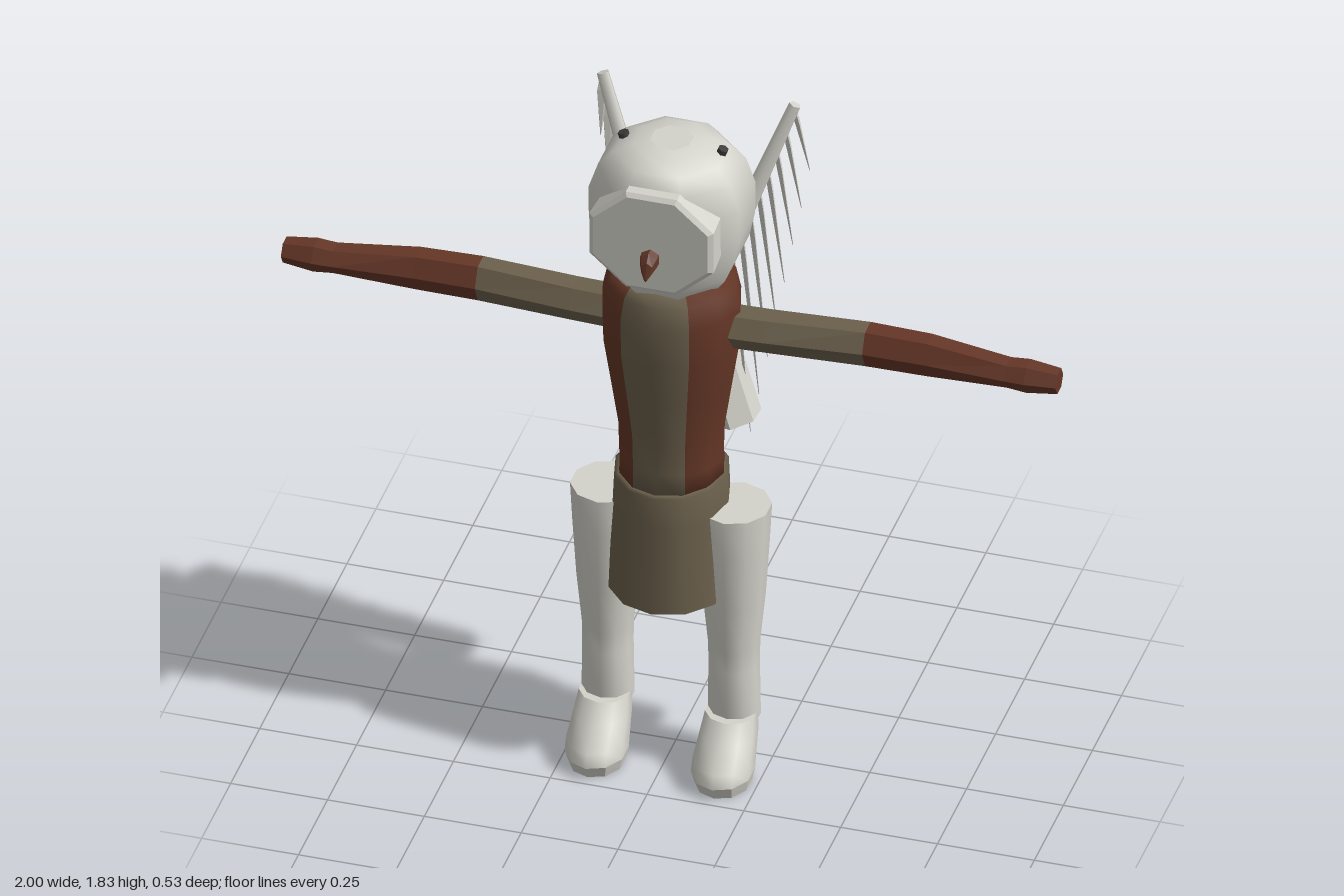
import * as THREE from 'three';

const mat = (name, color) => { const m = new THREE.MeshStandardMaterial({ color }); m.name = name; return m; };

// Closed skin over rings [y, centreX, centreZ, radiusX, radiusZ], listed from bottom to top
function loft(rings, sides, { phase = 0, flat = false } = {}) {
  const pos = [], idx = [];
  const ring = ([y, cx, cz, rx, rz]) => {
    const start = pos.length / 3;
    for (let i = 0; i < sides; i++) {
      const a = phase + (i / sides) * Math.PI * 2;
      pos.push(cx + rx * Math.sin(a), y, cz + rz * Math.cos(a));
    }
    return start;
  };
  const starts = rings.map(ring);
  for (let k = 0; k + 1 < starts.length; k++) {
    for (let i = 0; i < sides; i++) {
      const j = (i + 1) % sides, a = starts[k] + i, b = starts[k] + j, c = starts[k + 1] + j, d = starts[k + 1] + i;
      idx.push(a, b, d, b, c, d);
    }
  }
  const low = ring(rings[0]), high = ring(rings[rings.length - 1]);
  for (let i = 1; i + 1 < sides; i++) idx.push(low, low + i + 1, low + i, high, high + i, high + i + 1);
  let g = new THREE.BufferGeometry();
  g.setAttribute('position', new THREE.Float32BufferAttribute(pos, 3));
  g.setIndex(idx);
  if (flat) g = g.toNonIndexed();
  g.computeVertexNormals();
  return g;
}

export function createModel() {
  const root = new THREE.Group();
  const pale = mat('pale grey', 0xd4d3cb);
  const brown = mat('red brown', 0x653727);
  const taupe = mat('taupe', 0x6b604c);
  const dark = mat('dark grey', 0x3c3b3a);
  const taupeCloth = mat('taupe cloth', 0x6b604c);
  taupeCloth.side = THREE.DoubleSide;
  const V = (x, y, z) => new THREE.Vector3(x, y, z);
  const UP = V(0, 1, 0);
  const add = (name, geometry, material, parent = root) => {
    const m = new THREE.Mesh(geometry, material);
    m.name = name;
    parent.add(m);
    return m;
  };
  // Place a mesh built along y so that it runs from point a to point b
  const span = (m, a, b) => {
    m.position.copy(a).add(b).multiplyScalar(0.5);
    m.quaternion.setFromUnitVectors(UP, b.clone().sub(a).normalize());
    return m;
  };

  // Torso: taupe front panel, brown sides and back
  const profile = [[0.001, 0.82], [0.135, 0.82], [0.134, 0.9], [0.137, 1.0], [0.155, 1.12], [0.175, 1.25],
    [0.178, 1.36], [0.165, 1.42], [0.14, 1.45], [0.001, 1.45]].map(p => new THREE.Vector2(...p));
  const half = Math.PI / 6;
  const panel = (name, segs, start, length, material) => {
    const m = add(name, new THREE.LatheGeometry(profile, segs, start, length), material);
    m.scale.z = 0.95;
    m.position.z = 0.037;
  };
  panel('torsoFrontPanel', 2, -half, half * 2, taupe);
  panel('torsoSidesAndBack', 10, half, half * 10, brown);

  // Skirt, open below
  const skirt = add('skirt', new THREE.LatheGeometry(
    [[0.158, 0.515], [0.154, 0.62], [0.148, 0.76], [0.144, 0.85], [0.13, 0.852]].map(p => new THREE.Vector2(...p)), 12), taupeCloth);
  skirt.scale.z = 1.09;
  skirt.position.z = 0.04;

  // Head
  const oct = Math.PI / 8, k = 1 / Math.cos(oct);
  const headRings = [[1.44, 0.135, 0.13], [1.47, 0.155, 0.148], [1.53, 0.18, 0.162], [1.6, 0.194, 0.167], [1.69, 0.195, 0.167],
    [1.76, 0.172, 0.157], [1.8, 0.135, 0.128], [1.822, 0.09, 0.09], [1.83, 0.05, 0.05]];
  add('head', loft(headRings.map(([y, rx, rz]) => [y, 0, 0.035, rx * k, rz * k]), 8, { phase: oct }), pale);

  // Face plate with a bevelled rim, and the beak, both built along z
  const face = loft([[0.12, 0.155, 0.138], [0.2, 0.16, 0.142], [0.212, 0.16, 0.142], [0.221, 0.148, 0.131]]
    .map(([z, rx, ry]) => [z, 0, -1.63, rx * k, ry * k]), 8, { phase: oct, flat: true });
  add('facePlate', face.rotateX(Math.PI / 2), pale);
  const beak = loft([[0.215, 0, -1.592, 0.026, 0.026], [0.238, 0, -1.59, 0.025, 0.025],
    [0.254, 0, -1.577, 0.016, 0.02], [0.265, 0, -1.552, 0.003, 0.004]], 6, { flat: true });
  add('beak', beak.rotateX(Math.PI / 2), brown);

  for (const s of [1, -1]) {
    const side = s > 0 ? 'left' : 'right';

    // Small studs on top of the head
    const stud = add(side + 'HeadStud', new THREE.CylinderGeometry(0.014, 0.014, 0.03, 6), dark);
    span(stud, V(s * 0.12, 1.788, 0.025), V(s * 0.13, 1.817, 0.025));

    // Arm in two colours, [distance, centreZ, half height, half depth]
    const arm = new THREE.Group();
    arm.name = side + 'Arm';
    arm.position.y = 1.297;
    root.add(arm);
    const limb = (name, rows, material) => add(name,
      loft(rows.map(([d, z, h, w]) => [d, 0, z, h / 0.866, w]), 6, { flat: true }).rotateZ(-s * Math.PI / 2), material, arm);
    limb('upperArm', [[0.12, 0.037, 0.047, 0.058], [0.25, 0.032, 0.047, 0.056], [0.5, 0.016, 0.05, 0.05]], taupe);
    limb('forearmAndHand', [[0.5, 0.016, 0.05, 0.05], [0.66, 0.018, 0.048, 0.048], [0.87, 0.034, 0.032, 0.042],
      [0.92, 0.035, 0.037, 0.042], [1, 0.035, 0.028, 0.034]], brown);

    // Leg and forward slanting foot with bevelled sole
    const x = s * 0.163;
    add(side + 'Leg', loft([[0.14, x, 0.042, 0.066, 0.065], [0.3, x, 0.043, 0.063, 0.07], [0.36, x, 0.043, 0.064, 0.073],
      [0.5, x, 0.043, 0.078, 0.082], [0.66, x, 0.043, 0.088, 0.091], [0.77, x, 0.043, 0.094, 0.094]], 10), pale);
    add(side + 'Foot', loft([[0.035, x, 0.14, 0.078, 0.096], [0.07, x, 0.128, 0.077, 0.098],
      [0.12, x, 0.088, 0.072, 0.08], [0.165, x, 0.066, 0.066, 0.064]], 10), pale);
    add(side + 'Sole', loft([[0, x, 0.137, 0.07, 0.083], [0.035, x, 0.14, 0.078, 0.096]], 10, { flat: true }), pale);

    // Wing: slanting arm bone with a row of hanging feathers
    const wing = new THREE.Group();
    wing.name = side + 'Wing';
    root.add(wing);
    const base = V(s * 0.1, 1.42, -0.11), tip = V(s * 0.248, 1.825, -0.198);
    span(add('wingBone', new THREE.CylinderGeometry(0.016, 0.026, base.distanceTo(tip), 5), pale, wing), base, tip);
    const count = 8;
    for (let i = 0; i < count; i++) {
      const t = i / (count - 1);
      const a = base.clone().lerp(tip, 0.05 + t * 0.93);
      const b = a.clone().add(V(s * 0.025, -0.62 + t * 0.4, -0.085 + t * 0.03));
      const feather = loft([[-0.5, 0, 0, 0.001, 0.001], [0.3, 0, 0, 0.007, 0.02], [0.5, 0, 0, 0.006, 0.014]], 4, { flat: true });
      feather.scale(1, a.distanceTo(b), 1);
      feather.rotateY(s * 0.6);
      span(add('feather', feather, pale, wing), b, a);
    }
  }

  // Six-sided case slung across the back
  const low = V(0.115, 0.89, -0.152), high = V(-0.085, 1.49, -0.195);
  const tube = loft([[-0.5, 0, 0, 0.06, 0.066], [0.5, 0, 0, 0.06, 0.066]], 6, { flat: true });
  tube.scale(1, low.distanceTo(high), 1);
  span(add('backCase', tube, pale), low, high);

  return root;
}
